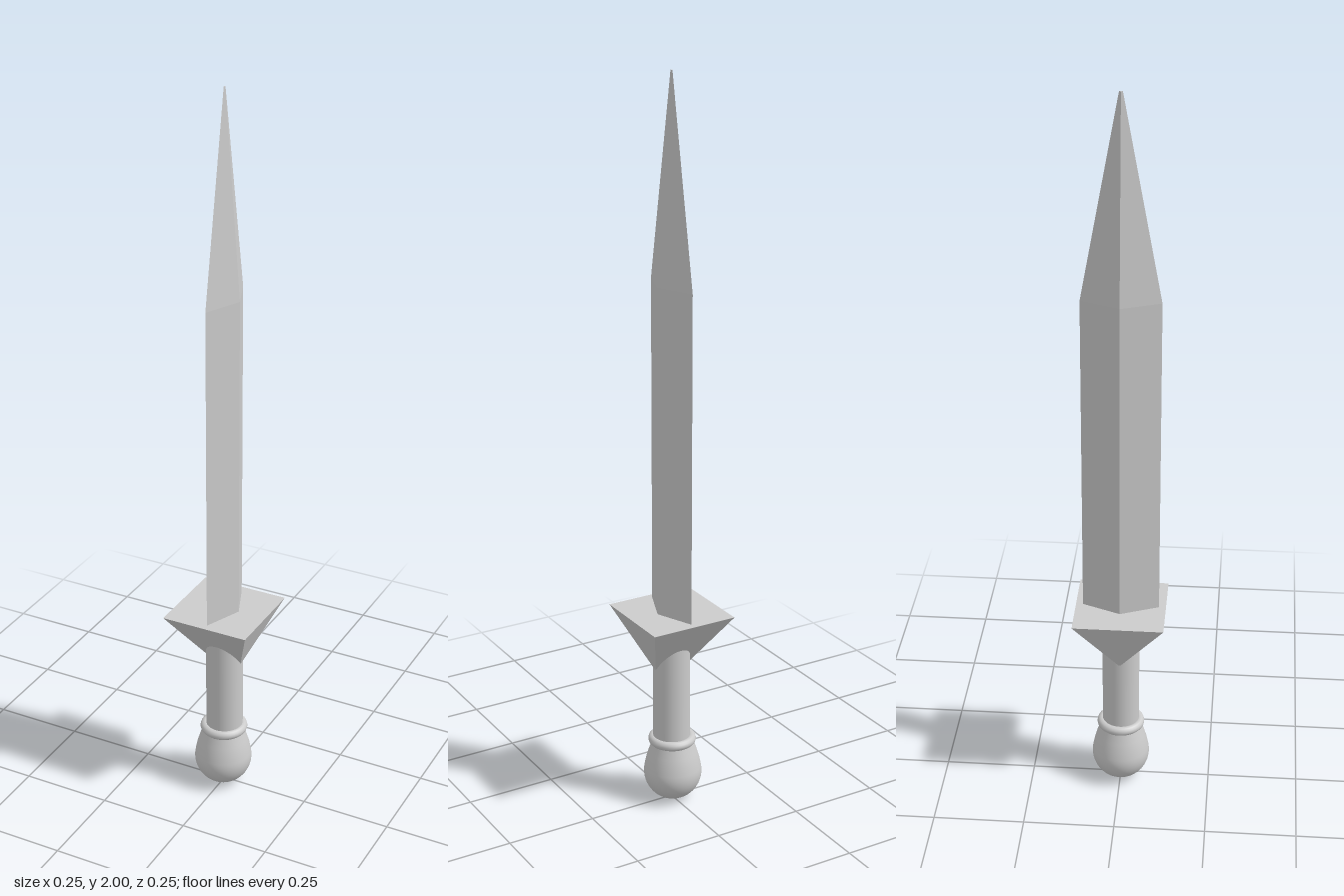
import * as THREE from 'three';

const smooth = new THREE.MeshStandardMaterial({ color: 0xcccccc });
const flat = new THREE.MeshStandardMaterial({ color: 0xcccccc, flatShading: true });

function part(name, geometry, material, x = 0, y = 0) {
  const mesh = new THREE.Mesh(geometry, material);
  mesh.name = name;
  mesh.position.set(x, y, 0);
  return mesh;
}

// Four-sided blade section with a diamond outline, narrowing to `top` of its base size
function bladeSection(name, y0, y1, top, open) {
  const geometry = new THREE.CylinderGeometry(top, 1, y1 - y0, 4, 1, open);
  geometry.scale(0.043, 1, 0.104);
  return part(name, geometry, flat, 0, (y0 + y1) / 2);
}

// Square block whose underside is pinched to a ridge along x
function guardGeometry() {
  const geometry = new THREE.BoxGeometry(0.246, 0.167, 0.246);
  const p = geometry.attributes.position;
  for (let i = 0; i < p.count; i++) {
    if (p.getY(i) < 0) {
      p.setX(i, Math.sign(p.getX(i)) * 0.049);
      p.setZ(i, 0);
    }
  }
  return geometry;
}

// Pear-shaped pommel: round below, drawn in towards the collar
function pommelGeometry() {
  const points = [];
  for (let i = 0; i <= 14; i++) {
    const a = -Math.PI / 2 + (i / 14) * (Math.PI / 2 + 0.2);
    points.push(new THREE.Vector2(Math.max(0, Math.cos(a) * 0.08), 0.08 + Math.sin(a) * 0.08));
  }
  points.push(
    new THREE.Vector2(0.074, 0.118),
    new THREE.Vector2(0.067, 0.142),
    new THREE.Vector2(0.06, 0.162),
    new THREE.Vector2(0.055, 0.18)
  );
  return new THREE.LatheGeometry(points, 40);
}

export function createModel() {
  const model = new THREE.Group();
  model.name = 'dagger';

  // Blade: straight body and tapering point
  const blade = new THREE.Group();
  blade.name = 'blade';
  blade.add(
    bladeSection('bladeBody', 0.55, 1.46, 1, true),
    bladeSection('bladePoint', 1.46, 2, 0.045, false)
  );
  model.add(blade);

  // Wedge-shaped guard
  model.add(part('guard', guardGeometry(), flat, 0, 0.395 + 0.167 / 2));

  // Grip, collar ring and pommel
  model.add(part('grip', new THREE.CylinderGeometry(0.051, 0.051, 0.33, 40), smooth, 0, 0.335));
  const ring = new THREE.TorusGeometry(0.053, 0.013, 12, 40);
  ring.rotateX(Math.PI / 2);
  model.add(part('collar', ring, smooth, -0.002, 0.18));
  model.add(part('pommel', pommelGeometry(), smooth, -0.004, 0));

  return model;
}
